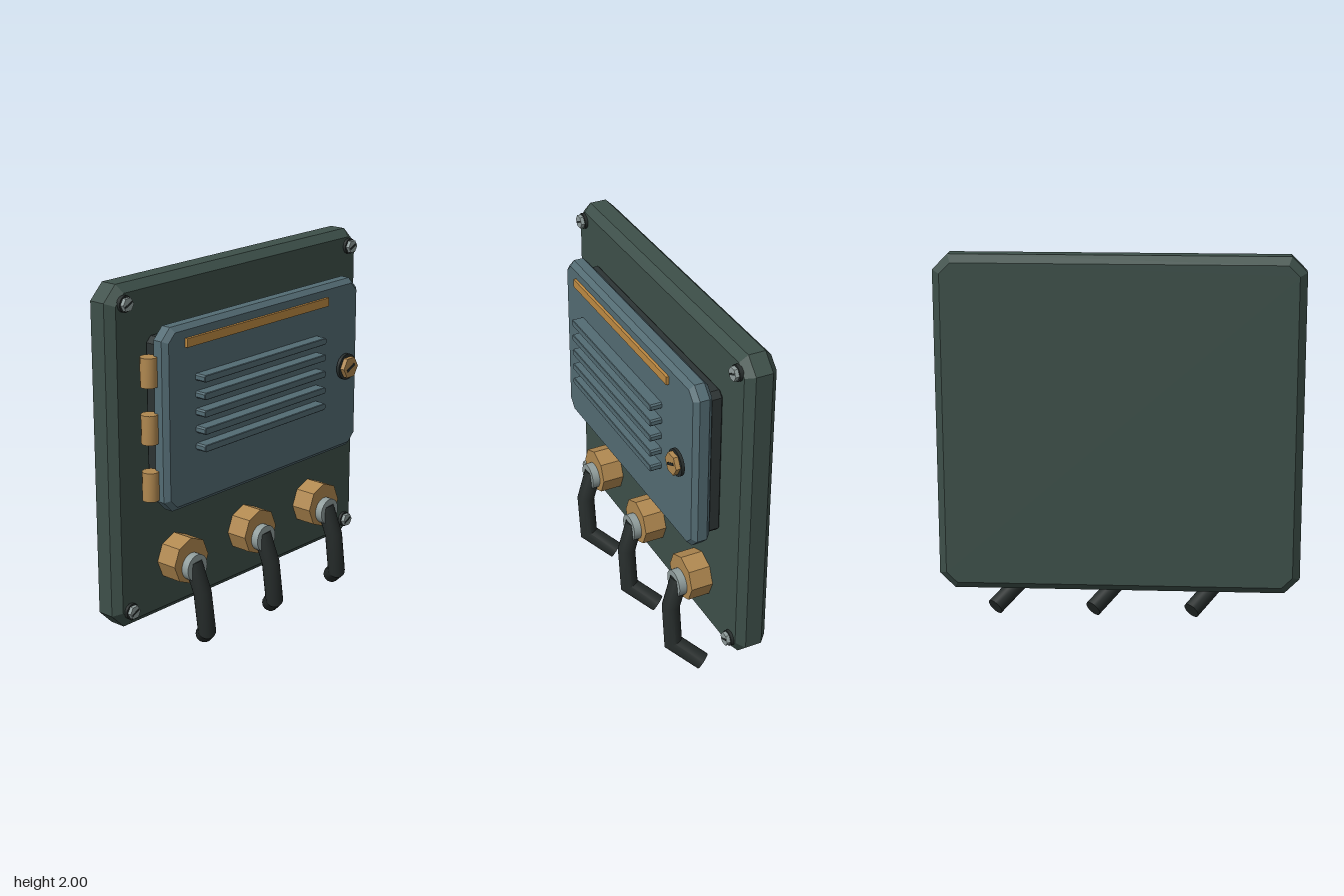
import * as THREE from 'three';
import { toCreasedNormals } from 'three/addons/utils/BufferGeometryUtils.js';

const mat = (name, color) => {
  const m = new THREE.MeshStandardMaterial({ color });
  m.name = name;
  return m;
};

export function createModel() {
  const green = mat('dark green paint', 0x3d4f49);
  const blue = mat('blue grey paint', 0x536b73);
  const brass = mat('brass', 0xb08850);
  const amber = mat('amber strip', 0xbe8a42);
  const black = mat('black rubber', 0x262c2b);
  const seal = mat('gasket rubber', 0x2c3333);
  const steel = mat('steel', 0x909d9c);

  const model = new THREE.Group();
  model.name = 'wallControlBox';

  const add = (name, geo, material, x = 0, y = 0, z = 0, parent = model) => {
    const mesh = new THREE.Mesh(geo, material);
    mesh.name = name;
    mesh.position.set(x, y, z);
    parent.add(mesh);
    return mesh;
  };

  // Plate with cut corners and bevelled edges, from z0 to z1
  const plate = (name, material, x0, x1, y0, y1, z0, z1, cut, bevel) => {
    const s = new THREE.Shape([
      [x0 + cut, y0], [x1 - cut, y0], [x1, y0 + cut], [x1, y1 - cut],
      [x1 - cut, y1], [x0 + cut, y1], [x0, y1 - cut], [x0, y0 + cut],
    ].map(([x, y]) => new THREE.Vector2(x, y)));
    const geo = new THREE.ExtrudeGeometry(s, {
      depth: z1 - z0 - 2 * bevel, bevelEnabled: true, bevelSegments: 1,
      bevelSize: bevel, bevelThickness: bevel, bevelOffset: -bevel,
    });
    return add(name, geo, material, 0, 0, z0 + bevel);
  };

  // Disc or prism lying along z
  const disc = (r, z0, z1, sides, turn = 0) => {
    const geo = new THREE.CylinderGeometry(r, r, z1 - z0, sides);
    geo.rotateX(Math.PI / 2).rotateZ(turn).translate(0, 0, (z0 + z1) / 2);
    return toCreasedNormals(geo, 0.55);
  };

  // Housing, gasket and door
  plate('backPanel', green, -0.95, 0.95, 0.22, 2, -0.2, -0.03, 0.08, 0.04);
  plate('gasket', seal, -0.715, 0.715, 0.89, 1.72, -0.035, 0.04, 0.03, 0.012);
  plate('door', blue, -0.75, 0.75, 0.84, 1.785, 0.035, 0.137, 0.06, 0.025);
  add('labelStrip', new THREE.BoxGeometry(1.085, 0.045, 0.02), amber, -0.068, 1.697, 0.142);

  // Louvre bars on the door
  for (let i = 0; i < 5; i++) {
    plate('louvre', blue, -0.54, 0.4, 1.13 + i * 0.09, 1.166 + i * 0.09, 0.13, 0.2, 0.008, 0.003);
  }

  // Hinge barrels
  for (const y of [0.985, 1.28, 1.57]) {
    const geo = toCreasedNormals(new THREE.CylinderGeometry(0.043, 0.043, 0.15, 16), 0.55);
    add('hinge', geo, brass, -0.773, y, 0.047);
  }

  // Door lock
  const lock = new THREE.Group();
  lock.name = 'lock';
  lock.position.set(0.615, 1.315, 0);
  model.add(lock);
  add('lockBarrel', disc(0.025, 0.13, 0.16, 12), black, 0, 0, 0, lock);
  add('lockRing', disc(0.072, 0.155, 0.172, 24), black, 0, 0, 0, lock);
  add('lockHead', disc(0.06, 0.17, 0.197, 6, Math.PI / 6), brass, 0, 0, 0, lock);
  add('lockSlot', new THREE.BoxGeometry(0.068, 0.014, 0.006), black, 0, 0, 0.197, lock).rotation.z = 0.45;

  // Corner screws
  for (const x of [-0.857, 0.857]) for (const y of [0.315, 1.91]) {
    const screw = new THREE.Group();
    screw.name = 'screw';
    screw.position.set(x, y, 0);
    model.add(screw);
    add('screwWasher', disc(0.042, -0.035, -0.014, 20), black, 0, 0, 0, screw);
    add('screwHead', disc(0.036, -0.014, 0.006, 6, Math.PI / 6), steel, 0, 0, 0, screw);
    add('screwSlot', new THREE.BoxGeometry(0.052, 0.009, 0.005), black, 0, 0, 0.006, screw).rotation.z = 0.45;
  }

  // Cable swept along straight runs with mitred bends
  const cableGeometry = (pts, r, sides) => {
    const dirs = pts.slice(1).map((p, i) => p.clone().sub(pts[i]).normalize());
    const u = new THREE.Vector3(1, 0, 0).cross(dirs[0]).normalize();
    const v = dirs[0].clone().cross(u);
    let ring = Array.from({ length: sides }, (_, k) => {
      const a = (k / sides) * Math.PI * 2;
      return pts[0].clone().addScaledVector(u, r * Math.cos(a)).addScaledVector(v, r * Math.sin(a));
    });
    const pos = [], idx = [];
    ring.forEach((p) => pos.push(...p));
    for (let i = 1; i < pts.length; i++) {
      const d = dirs[i - 1];
      const n = d.clone().add(dirs[i] || d).normalize();
      ring = ring.map((p) => p.clone().addScaledVector(d, pts[i].clone().sub(p).dot(n) / d.dot(n)));
      ring.forEach((p) => pos.push(...p));
      for (let k = 0; k < sides; k++) {
        const a = (i - 1) * sides + k, b = (i - 1) * sides + ((k + 1) % sides);
        idx.push(a, b, b + sides, a, b + sides, a + sides);
      }
    }
    // End caps
    const last = (pts.length - 1) * sides;
    for (let k = 1; k < sides - 1; k++) idx.push(0, k + 1, k, last, last + k, last + k + 1);
    const geo = new THREE.BufferGeometry();
    geo.setAttribute('position', new THREE.Float32BufferAttribute(pos, 3));
    geo.setIndex(idx);
    geo.computeVertexNormals();
    return toCreasedNormals(geo, 0.5);
  };
  const cableGeo = cableGeometry([
    new THREE.Vector3(0, 0.515, 0.1),
    new THREE.Vector3(0.012, 0.36, 0.153),
    new THREE.Vector3(0.043, 0.135, 0.153),
    new THREE.Vector3(0.152, 0.042, 0.033),
  ], 0.047, 18);

  // Cable glands along the bottom
  for (const x of [-0.533, 0, 0.533]) {
    const gland = new THREE.Group();
    gland.name = 'cableGland';
    gland.position.x = x;
    model.add(gland);
    add('glandNut', disc(0.125, -0.035, 0.09, 8), brass, 0, 0.52, 0, gland);
    add('glandCollar', disc(0.072, 0.08, 0.132, 24), steel, 0, 0.492, 0, gland);
    add('cable', cableGeo, black, 0, 0, 0, gland);
  }
  return model;
}
